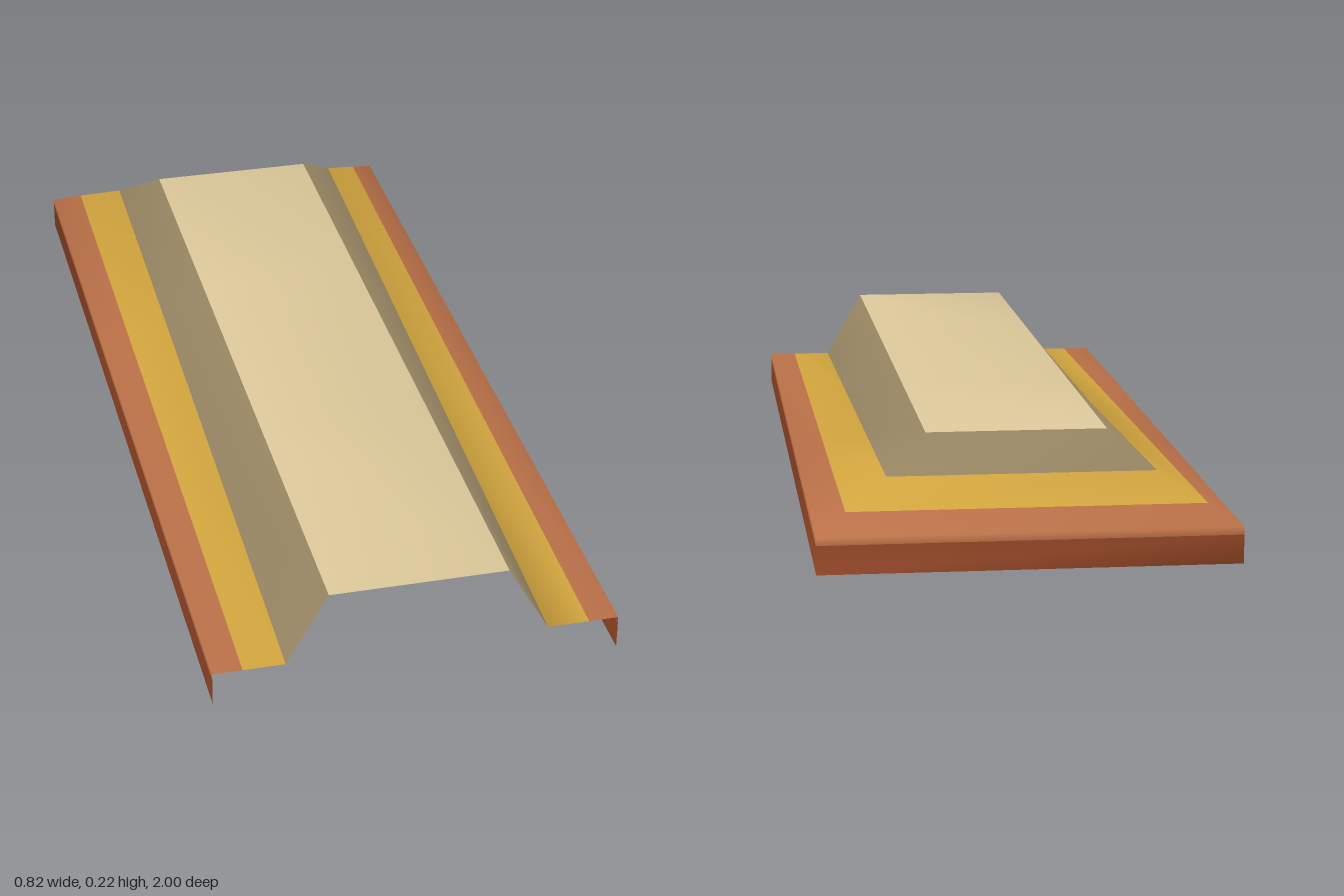
import * as THREE from 'three';

// Nested U-shaped rings, open at the front: [half width, back z, y at front, y at back]
const RINGS = [
  [0.41, -1, 0, 0],
  [0.41, -1, 0.057, 0.057],
  [0.41, -1, 0.072, 0.072],
  [0.35, -0.94, 0.072, 0.107],
  [0.265, -0.855, 0.072, 0.155],
  [0.18, -0.765, 0.222, 0.222],
];
const STATIONS = [1, 0.38, -0.24]; // z of the cross-sections before the back corner
const N = 2 * (STATIONS.length + 1);

const material = (name, color) =>
  new THREE.MeshStandardMaterial({ name, color, side: THREE.DoubleSide });

// Points of one ring: along +x to the back, across, and along -x to the front
function ringPoints([w, back, yFront, yBack]) {
  const side = [...STATIONS, back].map((z) => {
    const t = (1 - z) / (1 - back);
    return [w, yFront + (yBack - yFront) * t, z];
  });
  return [...side, ...side.map(([x, y, z]) => [-x, y, z]).reverse()];
}

const quad = (a, b, c, d) => [a, b, c, a, c, d];

// Strip of faces joining ring r to the next ring inward
function bandIndex(r) {
  const out = [];
  for (let i = 0; i < N - 1; i++) {
    const a = r * N + i;
    out.push(...quad(a, a + 1, a + N + 1, a + N));
  }
  return out;
}

// Flat deck filling the innermost ring
function deckIndex() {
  const s = (RINGS.length - 1) * N;
  const out = [];
  for (let i = 0; i < N / 2 - 1; i++) {
    out.push(...quad(s + i, s + i + 1, s + N - 2 - i, s + N - 1 - i));
  }
  return out;
}

export function createModel() {
  const group = new THREE.Group();
  group.name = 'openTray';

  const rust = material('rust', 0xb97047);
  const parts = [
    ['lowerWall', material('darkRust', 0x9a4a28), bandIndex(0)],
    ['wallTrim', rust, bandIndex(1)],
    ['outerSlope', rust, bandIndex(2)],
    ['yellowBorder', material('ochre', 0xd2a53e), bandIndex(3)],
    ['upperSlope', material('taupe', 0x968562), bandIndex(4)],
    ['topDeck', material('sand', 0xdcc89a), deckIndex()],
  ];

  // Smooth normals are shared by the whole shell, so the bands blend into each other
  const shell = new THREE.BufferGeometry();
  const points = RINGS.flatMap(ringPoints).flat();
  shell.setAttribute('position', new THREE.Float32BufferAttribute(points, 3));
  shell.setIndex(parts.flatMap((p) => p[2]));
  shell.computeVertexNormals();

  for (const [name, mat, index] of parts) {
    const geometry = new THREE.BufferGeometry();
    geometry.setAttribute('position', shell.attributes.position);
    geometry.setAttribute('normal', shell.attributes.normal);
    geometry.setIndex(index);
    const mesh = new THREE.Mesh(geometry, mat);
    mesh.name = name;
    group.add(mesh);
  }
  return group;
}
